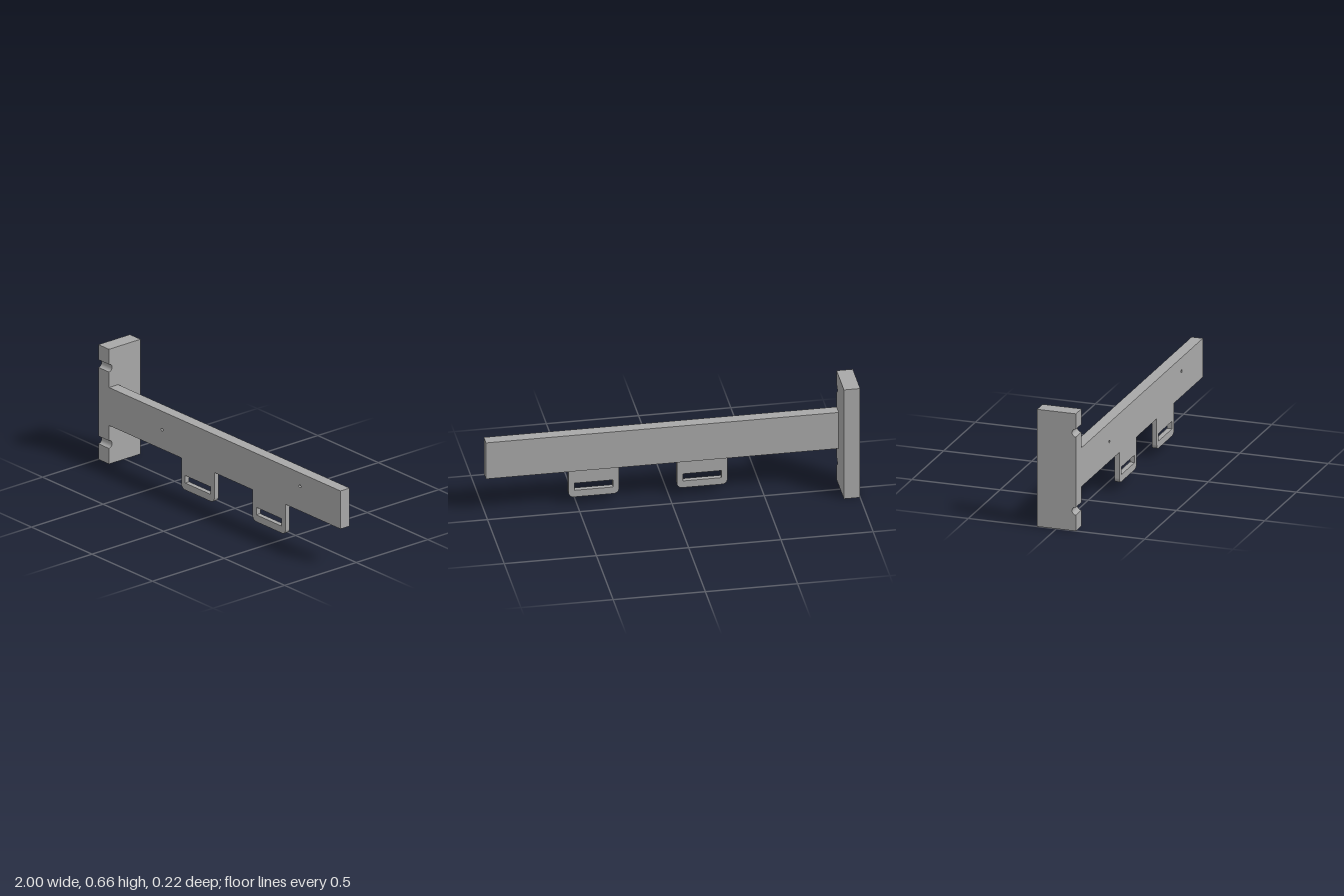
import * as THREE from 'three';

const grey = new THREE.MeshStandardMaterial({ color: 0xa8a8a8 });
grey.name = 'grey';

const FRONT = 0.11; // shared front plane
const TAB_DEPTH = 0.028;

function extrude(name, shape, depth) {
  const geometry = new THREE.ExtrudeGeometry(shape, { depth, bevelEnabled: false, curveSegments: 16 });
  const mesh = new THREE.Mesh(geometry, grey);
  mesh.name = name;
  return mesh;
}

function rectangle(PathType, x0, y0, x1, y1) {
  return new PathType([[x0, y0], [x1, y0], [x1, y1], [x0, y1]].map(([x, y]) => new THREE.Vector2(x, y)));
}

// Upright end plate with two half-round notches in its front edge
function createEndPlate() {
  const height = 0.661, r = 0.022;
  const s = new THREE.Shape();
  s.moveTo(-FRONT, 0);
  s.lineTo(FRONT, 0);
  s.lineTo(FRONT, height);
  s.lineTo(-FRONT, height);
  for (const y of [0.552, 0.112]) {
    s.lineTo(-FRONT, y + r);
    s.absarc(-FRONT, y, r, Math.PI / 2, -Math.PI / 2, true);
  }
  s.closePath();
  const plate = extrude('endPlate', s, 0.088);
  plate.rotation.y = Math.PI / 2;
  plate.position.x = -1;
  return plate;
}

// Long beam: drilled front layer on a solid back layer
function createBeam() {
  const x0 = -0.912, x1 = 1, y0 = 0.222, y1 = 0.441, back = 0.046;
  const beam = new THREE.Group();
  beam.name = 'beam';
  const face = rectangle(THREE.Shape, x0, y0, x1, y1);
  for (const [x, y] of [[-0.474, 0.334], [0.665, 0.364]]) {
    face.holes.push(new THREE.Path().absarc(x, y, 0.008, 0, Math.PI * 2, true));
  }
  const front = extrude('beamFront', face, TAB_DEPTH);
  front.position.z = FRONT - TAB_DEPTH;
  const rear = extrude('beamBack', rectangle(THREE.Shape, x0, y0, x1, y1), FRONT - TAB_DEPTH - back);
  rear.position.z = back;
  beam.add(front, rear);
  return beam;
}

// Hanging tab with rounded lower corners and a strap slot
function createTab(name, x) {
  const w = 0.1365, top = 0.222, bottom = 0.047, r = 0.028;
  const s = new THREE.Shape();
  s.moveTo(-w, top);
  s.lineTo(-w, bottom + r);
  s.absarc(-w + r, bottom + r, r, Math.PI, Math.PI * 1.5, false);
  s.lineTo(w - r, bottom);
  s.absarc(w - r, bottom + r, r, -Math.PI / 2, 0, false);
  s.lineTo(w, top);
  s.closePath();
  s.holes.push(rectangle(THREE.Path, -0.105, 0.087, 0.105, 0.13));
  const tab = extrude(name, s, TAB_DEPTH);
  tab.position.set(x, 0, FRONT - TAB_DEPTH);
  return tab;
}

export function createModel() {
  const model = new THREE.Group();
  model.name = 'slottedBracket';
  model.add(createEndPlate(), createBeam(), createTab('rightTab', -0.1785), createTab('leftTab', 0.4095));
  return model;
}
